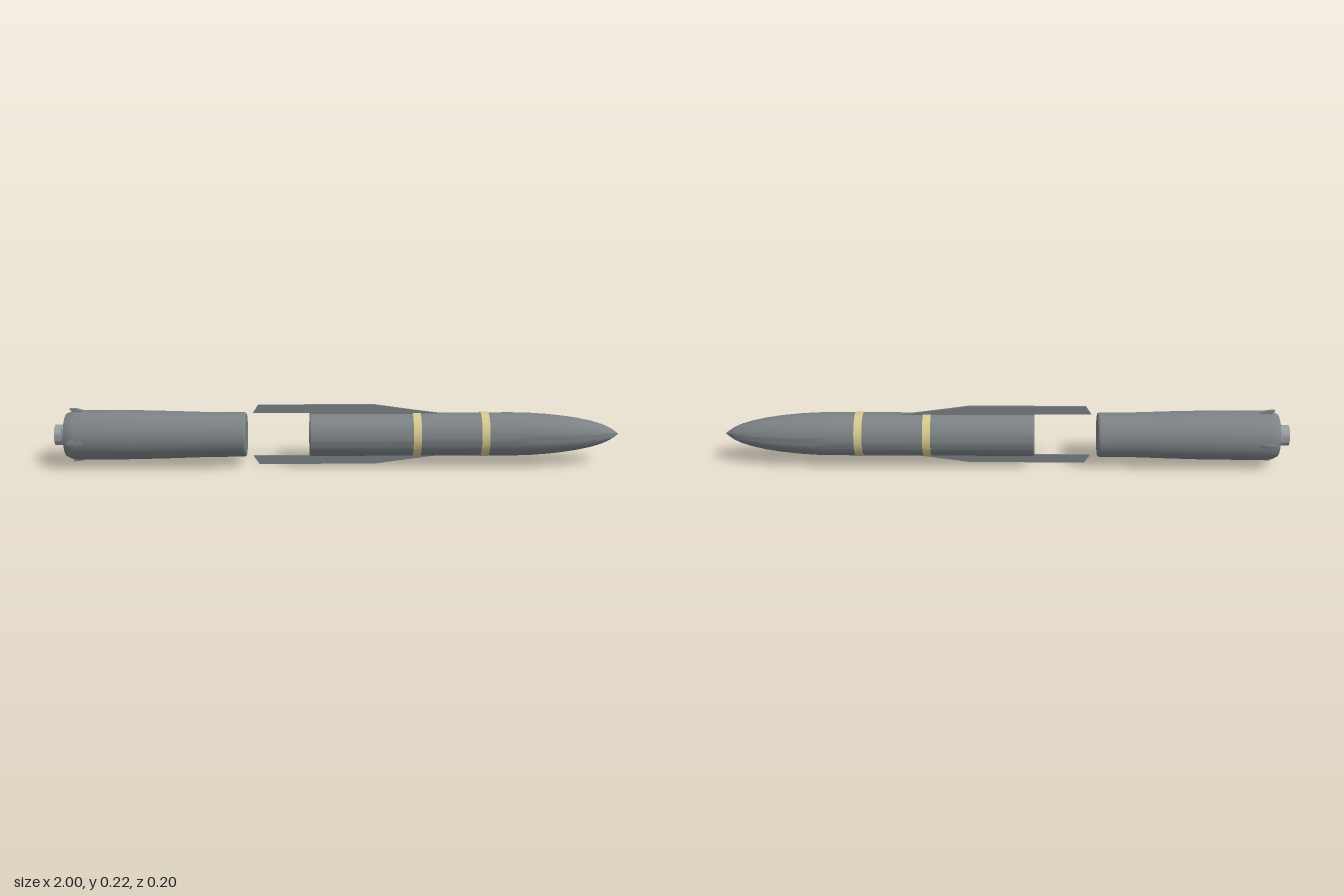
import * as THREE from 'three';
import { toCreasedNormals } from 'three/addons/utils/BufferGeometryUtils.js';

const AXIS_Y = 0.111;

export function createModel() {
  const model = new THREE.Group();
  model.name = 'missile';
  const body = new THREE.Group();
  body.name = 'missileBody';
  body.position.y = AXIS_Y;
  model.add(body);

  const mat = (name, color) => new THREE.MeshStandardMaterial({ name, color });
  const grey = mat('hull grey', 0x7c8285);
  const yellow = mat('band yellow', 0xd6c98f);
  const pale = mat('nozzle grey', 0x9a9fa2);

  const add = (name, geometry, material, parent = body) => {
    const mesh = new THREE.Mesh(geometry, material);
    mesh.name = name;
    parent.add(mesh);
    return mesh;
  };

  // Turned part along x from [x, radius] pairs, listed tail to nose
  const turned = (name, profile, material) => {
    const pts = profile.map(([x, r]) => new THREE.Vector2(r, x));
    const geo = new THREE.LatheGeometry(pts, 48);
    geo.rotateZ(-Math.PI / 2);
    return add(name, toCreasedNormals(geo, 0.45), material);
  };

  // Flat plate in the x / radius plane
  const plate = (outline, thickness) => {
    const shape = new THREE.Shape(outline.map(([x, y]) => new THREE.Vector2(x, y)));
    const geo = new THREE.ExtrudeGeometry(shape, { depth: thickness, bevelEnabled: false });
    return geo.translate(0, 0, -thickness / 2);
  };

  // Forward section with its curved nose
  turned('forwardBody', [
    [-0.1, 0], [-0.1, 0.073], [-0.094, 0.077], [0.62, 0.077], [0.68, 0.0755],
    [0.74, 0.0715], [0.8, 0.065], [0.85, 0.0575], [0.9, 0.047], [0.94, 0.035],
    [0.968, 0.0225],
  ], grey);
  turned('noseTip', [[0.968, 0.0225], [0.985, 0.0115], [1, 0]], grey);

  // Painted bands
  for (const x of [0.28, 0.52]) {
    turned('band', [
      [x - 0.014, 0.0765], [x - 0.014, 0.079], [x + 0.014, 0.079], [x + 0.014, 0.0765],
    ], yellow);
  }

  // Booster section, swelling toward the tail
  turned('rearBody', [
    [-0.962, 0.034], [-0.96, 0.076], [-0.942, 0.085], [-0.92, 0.088], [-0.72, 0.0875],
    [-0.58, 0.084], [-0.46, 0.080], [-0.33, 0.079], [-0.324, 0.076], [-0.324, 0],
  ], grey);

  // Hollow exhaust nozzle
  turned('nozzle', [
    [-0.966, 0], [-0.966, 0.022], [-1, 0.030], [-1, 0.037], [-0.975, 0.037],
    [-0.972, 0.041], [-0.958, 0.041],
  ], pale);

  // Long strakes above and below, bridging the gap
  const strake = plate([
    [-0.3, 0.08], [-0.1, 0.08], [-0.095, 0.075], [0.37, 0.075], [0.37, 0.078],
    [0.27, 0.091], [0.13, 0.111], [-0.28, 0.111],
  ], 0.006);
  for (const turn of [0, Math.PI]) add('strake', strake, grey).rotation.x = turn;

  // Four small swept tail fins, each on a thicker foot
  const fin = plate([
    [-0.925, 0.082], [-0.88, 0.082], [-0.895, 0.09], [-0.918, 0.097], [-0.944, 0.099],
    [-0.944, 0.095],
  ], 0.011);
  const foot = new THREE.BoxGeometry(0.03, 0.008, 0.016).translate(-0.918, 0.088, 0);
  for (let i = 0; i < 4; i++) {
    const tail = new THREE.Group();
    tail.name = 'tailFin';
    tail.rotation.x = (i * Math.PI) / 2;
    add('finBlade', fin, grey, tail);
    add('finFoot', foot, grey, tail);
    body.add(tail);
  }

  return model;
}
